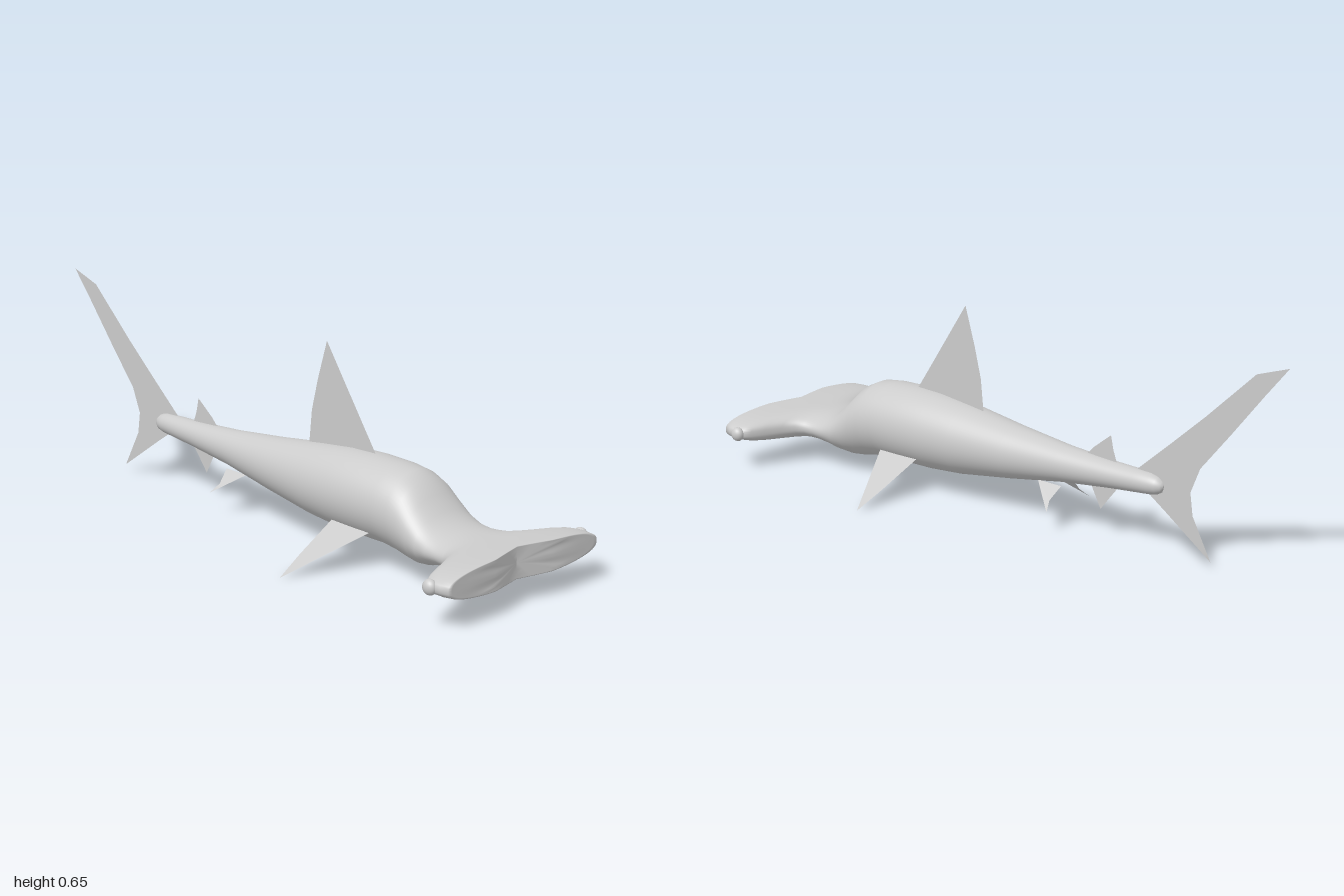
import * as THREE from 'three';

const skin = new THREE.MeshStandardMaterial({ color: 0xcccccc });
const finSkin = new THREE.MeshStandardMaterial({ color: 0xcccccc, side: THREE.DoubleSide });

// Body sections from tail to snout: z, half width, top y, bottom y
const SECTIONS = [
  [-0.575, 0.004, 0.22, 0.21], [-0.57, 0.016, 0.23, 0.197], [-0.555, 0.026, 0.241, 0.188],
  [-0.53, 0.033, 0.247, 0.183], [-0.48, 0.037, 0.249, 0.178], [-0.38, 0.043, 0.251, 0.168],
  [-0.2, 0.059, 0.261, 0.146], [0, 0.085, 0.281, 0.112], [0.2, 0.111, 0.306, 0.082],
  [0.32, 0.124, 0.319, 0.073], [0.42, 0.128, 0.322, 0.071], [0.52, 0.129, 0.319, 0.071],
  [0.58, 0.129, 0.311, 0.062], [0.62, 0.129, 0.292, 0.053], [0.66, 0.129, 0.253, 0.049],
  [0.7, 0.13, 0.212, 0.056], [0.74, 0.13, 0.187, 0.069], [0.78, 0.131, 0.177, 0.077],
  [0.815, 0.138, 0.175, 0.081], [0.84, 0.153, 0.174, 0.082], [0.862, 0.19, 0.174, 0.082],
  [0.885, 0.245, 0.174, 0.082], [0.903, 0.288, 0.174, 0.082], [0.918, 0.31, 0.174, 0.082],
  [0.945, 0.321, 0.175, 0.081], [0.975, 0.319, 0.176, 0.08], [1, 0.312, 0.177, 0.08],
];

// Lofted body that flattens and widens into the hammer head
function bodyGeometry() {
  const N = 64, pos = [], index = [];
  const rings = SECTIONS.map(([z, w, t, b]) => ({ z, w, h: (t - b) / 2, y: (t + b) / 2 }));
  const snout = rings[rings.length - 1];
  // Closing rings fill the front face
  for (const s of [0.95, 0.75, 0.4, 0.001]) rings.push({ ...snout, w: snout.w * s, h: snout.h * s });
  for (const { z, w, h, y } of rings) {
    const blend = THREE.MathUtils.smoothstep(z, 0.75, 0.92);
    const p = 2 / (2 + 0.6 * blend);
    for (let j = 0; j < N; j++) {
      const a = (j / N) * Math.PI * 2, c = Math.cos(a), s = Math.sin(a);
      const x = w * Math.sign(c) * Math.abs(c) ** p;
      // Shallow notch in the middle of the front edge
      const notch = 0.03 * Math.max(0, 1 - Math.abs(x) / 0.125) * THREE.MathUtils.smoothstep(z, 0.88, 1);
      pos.push(x, y + h * Math.sign(s) * Math.abs(s) ** p, z - notch);
    }
  }
  for (let i = 0; i < rings.length - 1; i++) {
    for (let j = 0; j < N; j++) {
      const a = i * N + j, b = i * N + (j + 1) % N;
      index.push(a, b, b + N, a, b + N, a + N);
    }
  }
  // Close the tail tip
  for (let j = 1; j < N - 1; j++) index.push(0, j + 1, j);
  const g = new THREE.BufferGeometry();
  g.setAttribute('position', new THREE.Float32BufferAttribute(pos, 3));
  g.setIndex(index);
  g.computeVertexNormals();
  return g;
}

// Thin fin in the middle plane, outlined by (z, y) points
function middleFin(points) {
  const shape = new THREE.Shape(points.map(([z, y]) => new THREE.Vector2(z, y)));
  return new THREE.ShapeGeometry(shape).rotateY(-Math.PI / 2);
}

// Thin side fin from (x, y, z) corners, mirrored by side
function sideFin(corners, side) {
  const g = new THREE.BufferGeometry();
  const pos = [];
  for (let i = 1; i < corners.length - 1; i++) {
    const tri = [corners[0], corners[i], corners[i + 1]];
    if (side < 0) tri.reverse();
    tri.forEach(([x, y, z]) => pos.push(x * side, y, z));
  }
  g.setAttribute('position', new THREE.Float32BufferAttribute(pos, 3));
  g.computeVertexNormals();
  return g;
}

export function createModel() {
  const model = new THREE.Group();
  model.name = 'hammerheadShark';
  const add = (name, geometry, material) => {
    const mesh = new THREE.Mesh(geometry, material);
    mesh.name = name;
    model.add(mesh);
    return mesh;
  };

  add('body', bodyGeometry(), skin);

  // Fins along the middle
  add('dorsalFin', middleFin([
    [0.43, 0.3], [0.415, 0.325], [0.36, 0.405], [0.21, 0.625], [0.172, 0.5], [0.147, 0.4], [0.135, 0.28],
  ]), finSkin);
  add('secondDorsalFin', middleFin([
    [-0.27, 0.24], [-0.31, 0.28], [-0.375, 0.33], [-0.385, 0.285], [-0.402, 0.24],
  ]), finSkin);
  add('analFin', middleFin([[-0.295, 0.17], [-0.338, 0.09], [-0.37, 0.13], [-0.415, 0.185]]), finSkin);
  add('tailFin', middleFin([
    [-0.46, 0.235], [-0.6, 0.355], [-0.72, 0.46], [-0.89, 0.618], [-1, 0.655], [-0.92, 0.56],
    [-0.81, 0.425], [-0.705, 0.3], [-0.672, 0.22], [-0.682, 0.15], [-0.75, 0.025], [-0.58, 0.142],
    [-0.47, 0.215],
  ]), finSkin);

  // Paired fins and eyes
  for (const [label, side] of [['left', 1], ['right', -1]]) {
    add(label + 'PectoralFin', sideFin([
      [0.09, 0.125, 0.5], [0.335, 0.005, 0.365], [0.24, 0.052, 0.35], [0.09, 0.125, 0.335],
    ], side), finSkin);
    add(label + 'PelvicFin', sideFin([
      [0.03, 0.14, -0.115], [0.1, 0.075, -0.21], [0.07, 0.102, -0.196], [0.03, 0.14, -0.208],
    ], side), finSkin);
    const eye = add(label + 'Eye', new THREE.SphereGeometry(0.023, 20, 14), skin);
    eye.scale.x = 0.8;
    eye.position.set(0.316 * side, 0.128, 0.937);
  }
  return model;
}
